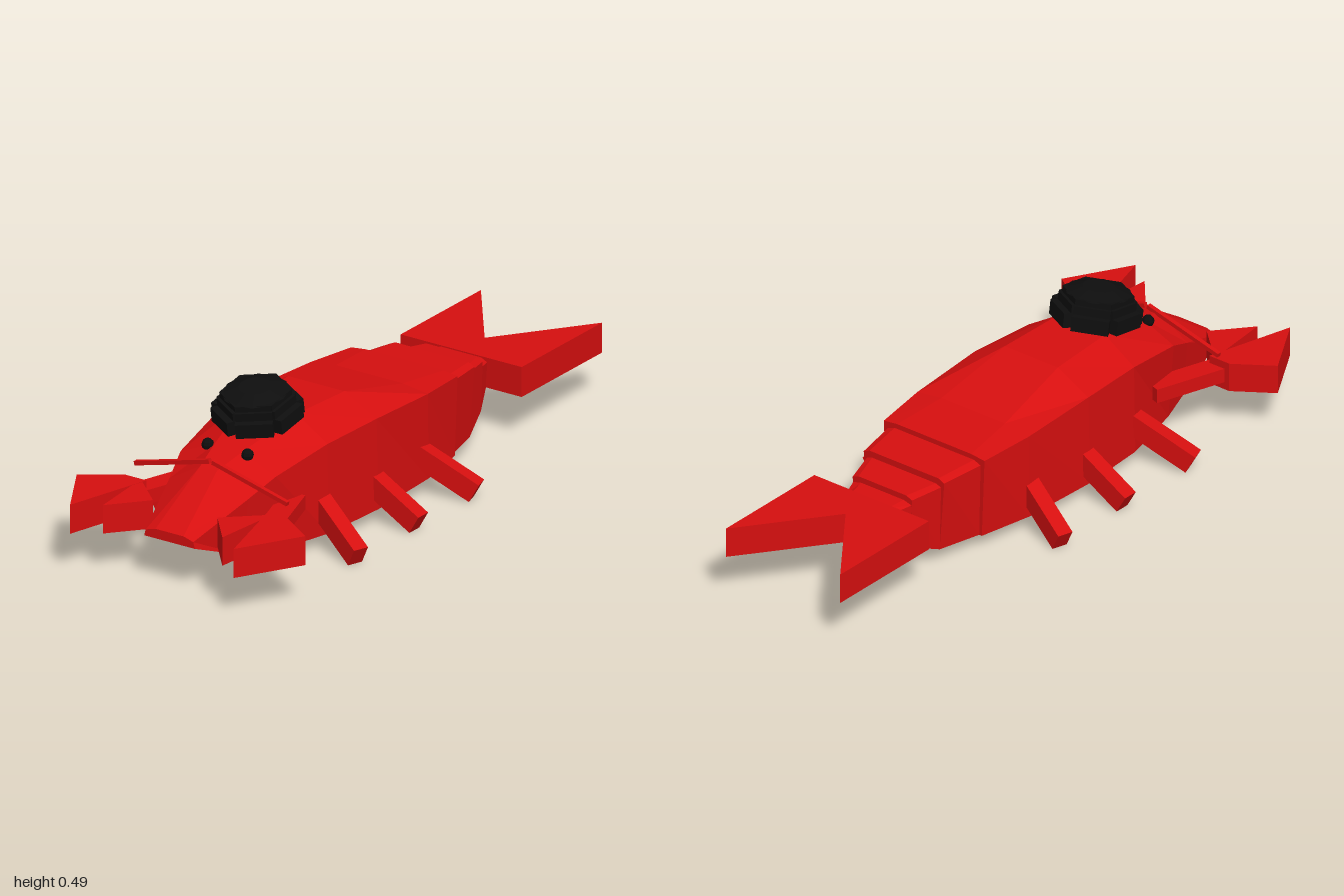
import * as THREE from 'three';

const red = new THREE.MeshStandardMaterial({ color: 0xd60f0f, flatShading: true });
red.name = 'shell red';
const black = new THREE.MeshStandardMaterial({ color: 0x0e0e0e, flatShading: true });
black.name = 'hat black';

function part(name, geometry, material, x = 0, y = 0, z = 0) {
  const mesh = new THREE.Mesh(geometry, material);
  mesh.name = name;
  mesh.position.set(x, y, z);
  return mesh;
}

// Flat plate with an outline given in x and z, between two heights
function plate(name, outline, side, bottom, top) {
  const shape = new THREE.Shape(outline.map(([x, z]) => new THREE.Vector2(x * side, z)));
  const geo = new THREE.ExtrudeGeometry(shape, { depth: top - bottom, bevelEnabled: false });
  geo.rotateX(Math.PI / 2);
  return part(name, geo, red, 0, top, 0);
}

// Box whose long axis joins two points
function beam(name, from, to, height, width) {
  const a = new THREE.Vector3(...from), b = new THREE.Vector3(...to);
  const mesh = part(name, new THREE.BoxGeometry(width, height, a.distanceTo(b)), red);
  mesh.position.copy(a).add(b).multiplyScalar(0.5);
  mesh.lookAt(b);
  return mesh;
}

// Six-sided cross-sections joined from nose to tail
function loft(sections) {
  const pos = [], index = [], n = 6;
  for (const [z, top, wTop, ySh, wSh, bot, wBot] of sections) {
    pos.push(wBot, bot, z, wSh, ySh, z, wTop, top, z, -wTop, top, z, -wSh, ySh, z, -wBot, bot, z);
  }
  for (let i = 0; i < sections.length - 1; i++) {
    for (let j = 0; j < n; j++) {
      const a = i * n + j, b = i * n + (j + 1) % n;
      index.push(a, a + n, b, b, a + n, b + n);
    }
  }
  const last = (sections.length - 1) * n;
  for (let j = 1; j < n - 1; j++) {
    index.push(0, j, j + 1, last, last + j + 1, last + j);
  }
  const geo = new THREE.BufferGeometry();
  geo.setAttribute('position', new THREE.Float32BufferAttribute(pos, 3));
  geo.setIndex(index);
  const flat = geo.toNonIndexed();
  flat.computeVertexNormals();
  return flat;
}

export function createModel() {
  const model = new THREE.Group();
  model.name = 'lobster';

  // Body: z, top y, top half width, shoulder y, shoulder half width, belly y, belly half width
  model.add(part('body', loft([
    [0.9, 0.17, 0.05, 0.16, 0.085, 0.14, 0.09],
    [0.7, 0.305, 0.03, 0.24, 0.14, 0.06, 0.125],
    [0.6, 0.335, 0.05, 0.285, 0.17, 0.04, 0.15],
    [0.38, 0.39, 0.09, 0.32, 0.2, 0.038, 0.205],
    [0.15, 0.385, 0.1, 0.325, 0.215, 0.04, 0.222],
    [-0.12, 0.322, 0.12, 0.31, 0.21, 0.042, 0.212],
    [-0.3, 0.306, 0.14, 0.3, 0.19, 0.045, 0.18],
  ]), red));

  // Stepped tail segments
  const tail = [
    [[-0.3, 0.29, 0.15, 0.28, 0.175, 0.045, 0.17], [-0.44, 0.282, 0.13, 0.272, 0.152, 0.045, 0.135]],
    [[-0.44, 0.262, 0.12, 0.255, 0.14, 0.045, 0.135], [-0.54, 0.254, 0.09, 0.245, 0.112, 0.085, 0.105]],
    [[-0.54, 0.236, 0.08, 0.228, 0.11, 0.085, 0.105], [-0.6, 0.23, 0.07, 0.22, 0.09, 0.15, 0.085]],
  ];
  tail.forEach((s, i) => model.add(part('tailSegment' + (i + 1), loft(s), red)));

  // Forked tail fan
  model.add(plate('tailFan',
    [[-0.216, -0.59], [0.216, -0.59], [0.216, -1], [0, -0.71], [-0.216, -1]], 1, 0.14, 0.235));

  for (const side of [1, -1]) {
    const label = side > 0 ? 'left' : 'right';

    // Claw: arm and two triangular pincers
    const claw = new THREE.Group();
    claw.name = label + 'Claw';
    claw.add(beam('arm', [side * 0.165, 0.173, 0.5], [side * 0.245, 0.173, 0.74], 0.045, 0.07));
    claw.add(plate('outerPincer', [[0.215, 0.71], [0.29, 0.71], [0.408, 0.79], [0.292, 0.99]], side, 0.127, 0.219));
    claw.add(plate('innerPincer', [[0.235, 0.71], [0.115, 0.82], [0.213, 0.935]], side, 0.128, 0.218));
    model.add(claw);

    // Three walking legs
    [[0.36, 0.455], [0.145, 0.145], [-0.07, -0.15]].forEach(([zIn, zOut], i) => {
      model.add(beam(label + 'Leg' + (i + 1),
        [side * 0.1, 0.18, zIn], [side * 0.362, 0.029, zOut], 0.064, 0.05));
    });

    // Antenna and eye
    model.add(beam(label + 'Antenna', [side * 0.005, 0.322, 0.685], [side * 0.272, 0.253, 0.685], 0.013, 0.014));
    model.add(part(label + 'Eye', new THREE.SphereGeometry(0.019, 8, 6), black, side * 0.071, 0.332, 0.603));
  }

  // Tilted hat: tiers of three crossed slabs under a low crown
  const hat = new THREE.Group();
  hat.name = 'hat';
  hat.position.set(0, 0.405, 0.45);
  hat.rotation.x = 0.165;
  const tiers = [[0.25, 0.112, 0.045, 0], [0.206, 0.11, 0.03, 0.033], [0.186, 0.105, 0.026, 0.053]];
  tiers.forEach(([length, depth, height, y], t) => {
    for (let k = 0; k < 3; k++) {
      const slab = part(t === 0 ? 'brim' : 'hatTier', new THREE.BoxGeometry(length, height, depth), black, 0, y, 0);
      slab.rotation.y = k * Math.PI / 3;
      hat.add(slab);
    }
  });
  hat.add(part('crown', new THREE.CylinderGeometry(0.05, 0.1, 0.018, 12), black, 0, 0.073, 0));
  model.add(hat);

  return model;
}
